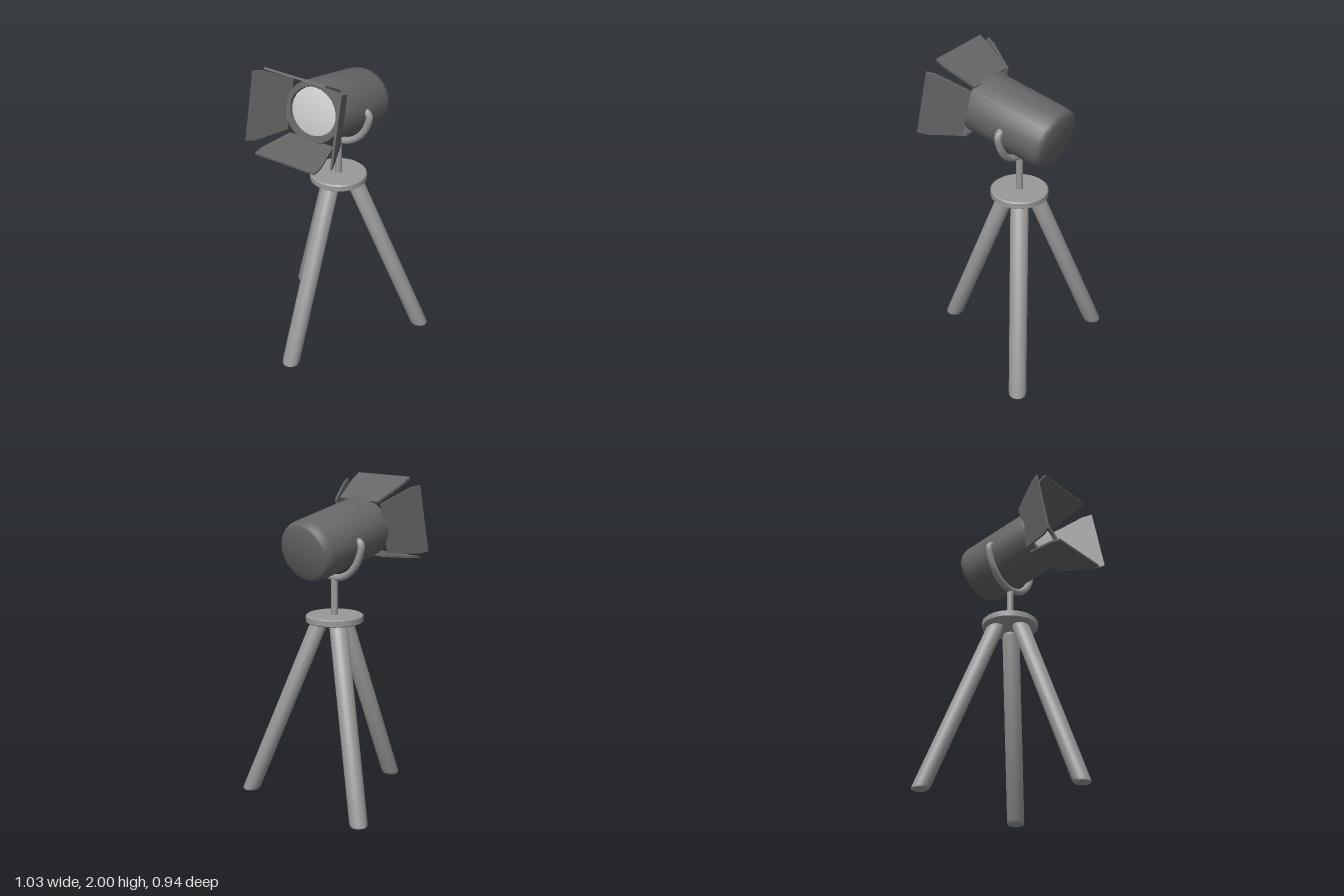
import * as THREE from 'three';
import { toCreasedNormals } from 'three/addons/utils/BufferGeometryUtils.js';

const X0 = 0.006, Z0 = -0.112; // vertical axis of the stand
const metal = new THREE.MeshStandardMaterial({ color: 0x999999 });
const dark = new THREE.MeshStandardMaterial({ color: 0x666666 });
const glass = new THREE.MeshStandardMaterial({ color: 0xcccccc });

function add(parent, name, geometry, material) {
  const mesh = new THREE.Mesh(geometry, material);
  mesh.name = name;
  parent.add(mesh);
  return mesh;
}

// Turned solid from [radius, height] pairs, bottom to top
function turned(profile, segments = 32) {
  return new THREE.LatheGeometry(profile.map(([r, y]) => new THREE.Vector2(r, y)), segments);
}
const crease = (geometry) => toCreasedNormals(geometry, 0.7);

// Slanted round leg with level ends: a cylinder sheared from foot to top
function legGeometry(foot, top) {
  const h = 1.13, r = 0.0555;
  const g = turned([[0, 0], [0.044, 0], [0.052, 0.006], [r, 0.02], [r, h - 0.02], [0.046, h], [0, h]], 24);
  const p = g.attributes.position;
  for (let i = 0; i < p.count; i++) {
    const t = p.getY(i) / h;
    p.setX(i, p.getX(i) + THREE.MathUtils.lerp(foot[0], top[0], t));
    p.setZ(i, p.getZ(i) + THREE.MathUtils.lerp(foot[1], top[1], t));
  }
  return crease(g);
}

// Lamp parts are turned about z and slightly wider than tall
function lampGeometry(profile) {
  return crease(turned(profile, 24).rotateX(Math.PI / 2).scale(0.205, 0.19, 1));
}

// Barn door: straight outer strip narrowing towards the hinge
function flapGeometry() {
  const t = 0.013, w = 0.212, n = 0.157, len = 0.272;
  const s = new THREE.Shape([[-n, 0], [n, 0], [w, len - 0.065], [w, len], [-w, len], [-w, len - 0.065]]
    .map(([x, y]) => new THREE.Vector2(x, y)));
  return new THREE.ExtrudeGeometry(s, { depth: t, bevelEnabled: false }).translate(0, 0, -t / 2);
}

export function createModel() {
  const model = new THREE.Group();
  model.name = 'spotlightOnTripod';

  // Tripod
  const tripod = new THREE.Group();
  tripod.name = 'tripod';
  model.add(tripod);
  add(tripod, 'frontLeg', legGeometry([X0, 0.422], [X0, -0.03]), metal);
  add(tripod, 'leftLeg', legGeometry([0.464, -0.422], [0.082, -0.165]), metal);
  add(tripod, 'rightLeg', legGeometry([-0.468, -0.396], [-0.073, -0.162]), metal);
  const hub = turned([[0, 1.13], [0.17, 1.13], [0.178, 1.136], [0.178, 1.169], [0.17, 1.176], [0, 1.176]]);
  add(tripod, 'hub', crease(hub), metal).position.set(X0, 0, Z0);
  const post = new THREE.CylinderGeometry(0.021, 0.021, 0.24, 16);
  add(tripod, 'post', post, metal).position.set(X0, 1.28, Z0);

  // U-shaped bracket with ends turned in to the lamp
  const pts = [[-0.17, 0], [-0.2, 0]];
  for (let i = 0; i <= 12; i++) {
    const a = Math.PI * (1.03 + 0.94 * i / 12);
    pts.push([0.222 * Math.cos(a), 0.242 * Math.sin(a)]);
  }
  pts.push([0.2, 0], [0.17, 0]);
  const curve = new THREE.CatmullRomCurve3(pts.map(([x, y]) => new THREE.Vector3(x, y, 0)));
  add(model, 'bracket', new THREE.TubeGeometry(curve, 72, 0.022, 12), metal).position.set(X0, 1.648, Z0 + 0.002);

  // Tilted lamp head
  const lamp = new THREE.Group();
  lamp.name = 'lampHead';
  lamp.position.set(X0, 1.644, -0.108);
  lamp.rotation.x = -THREE.MathUtils.degToRad(12);
  model.add(lamp);
  add(lamp, 'housing', lampGeometry([
    [0, -0.278], [0.84, -0.278], [0.92, -0.27], [0.98, -0.25], [1, -0.22],
    [1, 0.25], [0.96, 0.275], [0.8, 0.275], [0.78, 0.25], [0, 0.25]]), dark);
  add(lamp, 'lens', lampGeometry([[0.785, 0.252], [0.75, 0.262], [0.55, 0.27], [0.3, 0.275], [0, 0.277]]), glass);

  // Four barn doors: [name, turn about the axis, hinge radius, flare in degrees]
  const flap = flapGeometry();
  [['topFlap', 0, 0.165, 18.5], ['rightFlap', 1, 0.18, 25], ['bottomFlap', 2, 0.178, 19], ['leftFlap', 3, 0.197, 25]]
    .forEach(([name, turn, radius, flare]) => {
      const mount = new THREE.Group();
      mount.name = name + 'Mount';
      mount.rotation.z = turn * Math.PI / 2;
      lamp.add(mount);
      const mesh = add(mount, name, flap, dark);
      mesh.position.set(0, radius, 0.248);
      mesh.rotation.x = Math.PI / 2 - THREE.MathUtils.degToRad(flare);
    });

  return model;
}
